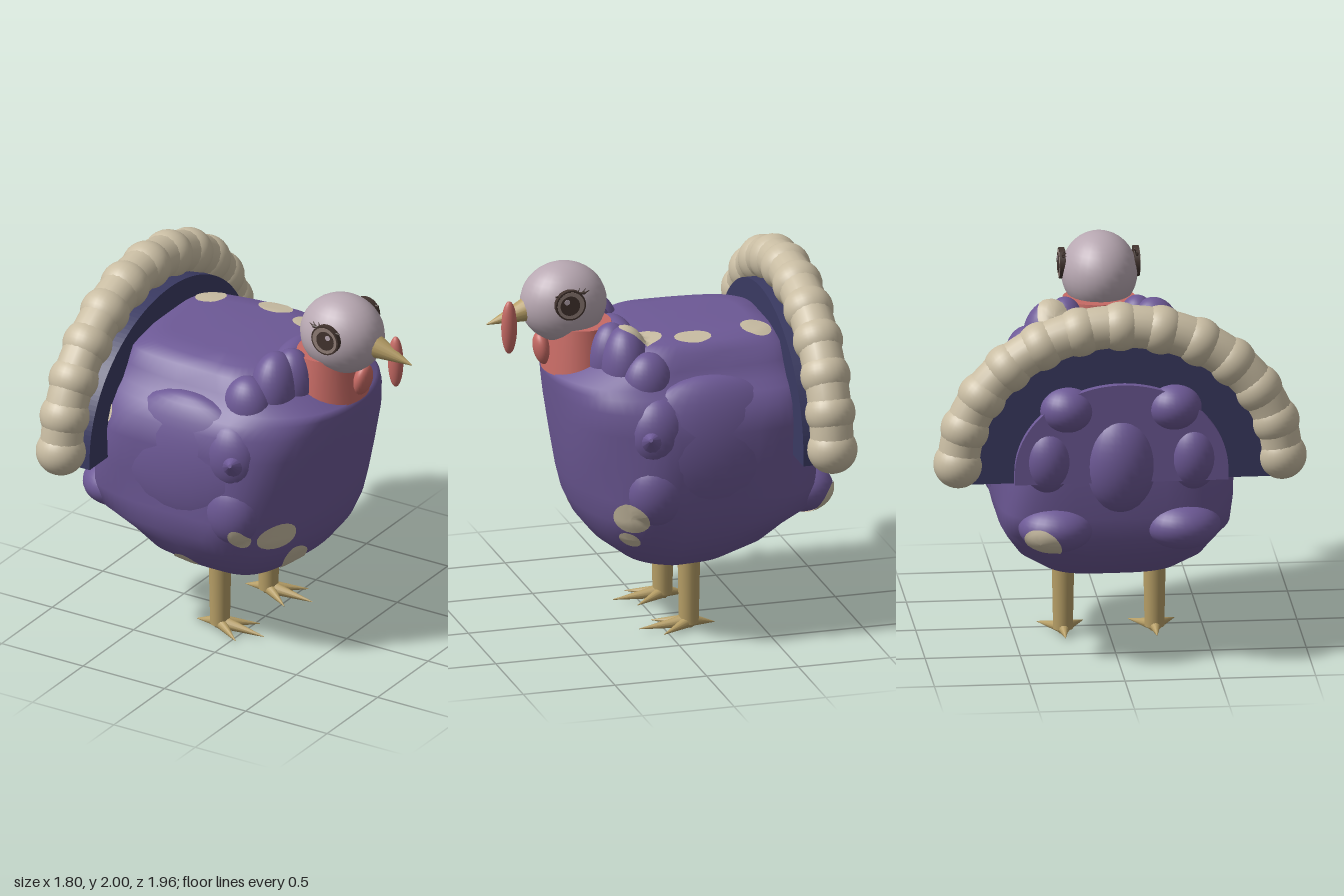
import * as THREE from 'three';

const mat = (name, color, side = THREE.FrontSide) => {
  const m = new THREE.MeshStandardMaterial({ color, side });
  m.name = name;
  return m;
};

export function createModel() {
  const root = new THREE.Group();
  root.name = 'turkey';
  const purple = mat('purple plumage', 0x6d5996);
  const cream = mat('cream feather tips', 0xc9bda3);
  const spotCream = mat('cream spots', 0xc9bda3, THREE.DoubleSide);
  const navy = mat('navy band', 0x3a3a62);
  const mauve = mat('pale mauve skin', 0xb8a8b2);
  const red = mat('salmon red', 0xc66a64);
  const horn = mat('horn yellow', 0xb69e66);
  const dark = mat('dark brown', 0x42342f);
  const iris = mat('iris taupe', 0x8f7d76);

  const add = (name, geo, material, x = 0, y = 0, z = 0) => {
    const m = new THREE.Mesh(geo, material);
    m.name = name;
    m.position.set(x, y, z);
    root.add(m);
    return m;
  };
  const blob = (name, material, [x, y, z], [rx, ry, rz]) =>
    add(name, new THREE.SphereGeometry(1, 28, 20).scale(rx, ry, rz), material, x, y, z);
  // tapered rod between two points
  const rod = (name, material, a, b, r0, r1, sides = 14) => {
    const p = new THREE.Vector3(...a), q = new THREE.Vector3(...b), d = q.clone().sub(p);
    const m = add(name, new THREE.CylinderGeometry(r1, r0, d.length(), sides), material);
    m.position.copy(p).add(q).multiplyScalar(0.5);
    m.quaternion.setFromUnitVectors(new THREE.Vector3(0, 1, 0), d.normalize());
    return m;
  };

  // body: horizontal loops of [y, back x, front x, half width], boxy behind and round in front
  const rows = [
    [0.36, -0.1, -0.1, 0], [0.36, -0.22, 0.06, 0.26], [0.4, -0.38, 0.2, 0.36],
    [0.5, -0.57, 0.33, 0.49], [0.6, -0.69, 0.41, 0.56], [0.7, -0.77, 0.455, 0.61],
    [0.82, -0.79, 0.485, 0.635], [1.0, -0.8, 0.52, 0.64], [1.2, -0.8, 0.55, 0.65],
    [1.32, -0.78, 0.565, 0.62], [1.39, -0.75, 0.575, 0.57], [1.43, -0.73, 0.575, 0.52],
    [1.5, -0.69, 0.42, 0.47], [1.58, -0.65, 0.33, 0.43], [1.62, -0.6, 0.26, 0.37],
    [1.635, -0.5, 0.15, 0.27], [1.635, -0.1, -0.1, 0]];
  const N = 64, pos = [], idx = [];
  rows.forEach(([y, xb, xf, hz], i) => {
    const cx = xb + (xf - xb) * 0.62, boxy = y > 0.65 && y < 1.6 ? 0.42 : 0.6;
    for (let j = 0; j < N; j++) {
      const a = (j / N) * Math.PI * 2, c = Math.cos(a), s = Math.sin(a);
      const e = c > 0 ? 0.92 : boxy;
      const w = 1 + 0.014 * Math.sin(5 * a + 9 * y) * Math.abs(s);
      pos.push(cx + Math.sign(c) * Math.abs(c) ** e * (c > 0 ? xf - cx : cx - xb) * w,
        y, Math.sign(s) * Math.abs(s) ** e * hz * w);
      if (i < rows.length - 1) {
        const p = i * N + j, q = i * N + ((j + 1) % N);
        idx.push(p, p + N, q, p + N, q + N, q);
      }
    }
  });
  const bodyGeo = new THREE.BufferGeometry();
  bodyGeo.setAttribute('position', new THREE.Float32BufferAttribute(pos, 3));
  bodyGeo.setIndex(idx);
  bodyGeo.computeVertexNormals();
  const plumage = [add('body', bodyGeo, purple)];
  const plume = (name, at, size) => plumage.push(blob(name, purple, at, size));

  for (const s of [1, -1]) {
    // folded wing: a shallow swelling with a lobed front edge
    plume('wing', [-0.15, 1.08, s * 0.5], [0.46, 0.4, 0.165]);
    plume('wingFrontLobe', [0.14, 1.43, s * 0.4], [0.14, 0.17, 0.12]);
    plume('wingFrontLobe', [0.12, 1.2, s * 0.52], [0.17, 0.2, 0.135]);
    plume('wingFrontLobe', [0.12, 0.88, s * 0.52], [0.17, 0.2, 0.135]);
    plumage.push(rod('wingTip', purple, [0.17, 1.18, s * 0.58], [0.21, 1.22, s * 0.69], 0.09, 0.01));
    // raised shoulder ruff wrapping the neck
    plume('shoulderRuff', [0.23, 1.49, s * 0.27], [0.13, 0.22, 0.15]);
    plume('neckRuff', [0.28, 1.5, s * 0.19], [0.125, 0.21, 0.12]);
    // rump feather tufts
    plume('rumpTuft', [-0.74, 1.42, s * 0.28], [0.15, 0.13, 0.15]);
    plume('rumpTuft', [-0.73, 1.15, s * 0.38], [0.14, 0.19, 0.14]);
    plume('rumpTuft', [-0.7, 0.76, s * 0.33], [0.18, 0.13, 0.2]);
  }
  plume('rumpTuft', [-0.73, 1.12, 0], [0.17, 0.28, 0.2]);
  plume('backRuff', [0.2, 1.52, 0], [0.11, 0.15, 0.25]);

  // tail fan: navy half disc, purple inner fan, cream lobes round the rim
  const halfDisc = (a, b, depth) => {
    const s = new THREE.Shape();
    s.absellipse(0, 0.06, a, b, 0, Math.PI, false, 0);
    s.lineTo(-a, 0);
    s.lineTo(a, 0);
    return new THREE.ExtrudeGeometry(s, { depth, bevelEnabled: false, curveSegments: 40 })
      .rotateY(Math.PI / 2);
  };
  add('tailBand', halfDisc(0.79, 0.67, 0.19), navy, -0.78, 1.03, 0);
  add('innerTail', halfDisc(0.56, 0.47, 0.1), purple, -0.82, 1.03, 0);
  const LOBES = 13;
  const rimPoint = t => {
    const a = Math.PI * (0.015 + 0.97 * t);
    return { a, p: new THREE.Vector3(-0.73, 1.095 + 0.76 * Math.sin(a), 0.85 * Math.cos(a)) };
  };
  const rim = [];
  for (let i = 0; i < LOBES; i++) {
    const { a, p } = rimPoint(i / (LOBES - 1));
    rim.push(p);
    blob('tailLobe', cream, p.toArray(), [0.132, 0.128, 0.13]).rotation.x = -a;
  }
  add('tailRim', new THREE.TubeGeometry(new THREE.CatmullRomCurve3(rim), 60, 0.114, 18), cream);

  // spots: discs dropped onto the plumage, seen from direction dir around a centre point
  root.updateMatrixWorld(true);
  const caster = new THREE.Raycaster();
  const spot = (dir, centre, ru, rv, tilt = 0) => {
    const d = new THREE.Vector3(...dir).normalize();
    const up = new THREE.Vector3(0, d.y > 0.9 ? 0 : 1, d.y > 0.9 ? -1 : 0);
    const frame = new THREE.Matrix4().lookAt(d, new THREE.Vector3(), up)
      .setPosition(new THREE.Vector3(...centre).addScaledVector(d, 2));
    const g = new THREE.RingGeometry(0.001, 1, 20, 4);
    const p = g.scale(ru, rv, 1).rotateZ(tilt).applyMatrix4(frame).attributes.position;
    for (let i = 0; i < p.count; i++) {
      caster.set(new THREE.Vector3().fromBufferAttribute(p, i), d.clone().negate());
      const hit = caster.intersectObjects(plumage)[0];
      if (!hit) return;
      const n = hit.face.normal.clone().transformDirection(hit.object.matrixWorld);
      const q = hit.point.addScaledVector(n, 0.007);
      p.setXYZ(i, q.x, q.y, q.z);
    }
    g.computeVertexNormals();
    add('spot', g, spotCream);
  };
  const TOP = [0, 1, 0], FRONT = [1, 0, 0], LEFT = [0, 0, 1], FRONT_RIGHT = [1, 0, -1];
  spot(TOP, [-0.49, 0, -0.25], 0.08, 0.09);
  spot(TOP, [-0.13, 0, -0.31], 0.1, 0.065);
  spot(TOP, [0.14, 0, -0.26], 0.12, 0.08, 0.2);
  spot(FRONT, [0, 0.74, 0.43], 0.085, 0.08);
  spot(FRONT, [0, 0.53, 0.23], 0.14, 0.06, 0.75 - Math.PI / 2 - 0.0);
  spot(FRONT_RIGHT, [0.3, 0.74, -0.56], 0.11, 0.085, 0.3);
  spot(FRONT_RIGHT, [0.28, 0.6, -0.48], 0.06, 0.045);
  spot(LEFT, [0.2, 0.75, 0], 0.045, 0.065);
  spot(LEFT, [-0.2, 0.48, 0], 0.065, 0.05);
  spot(LEFT, [-0.6, 1.28, 0], 0.03, 0.05);
  spot([-0.8, 0, -0.5], [-0.8, 0.71, -0.4], 0.1, 0.08);

  // neck, head, beak, snood and wattle
  add('neck', new THREE.CylinderGeometry(0.165, 0.2, 0.25, 32), red, 0.395, 1.55, 0).scale.z = 1.15;
  blob('head', mauve, [0.48, 1.785, 0.01], [0.23, 0.215, 0.2]);
  rod('beak', horn, [0.66, 1.765, 0.01], [0.9, 1.7, 0], 0.07, 0.003, 16);
  blob('snood', red, [0.785, 1.68, -0.025], [0.042, 0.145, 0.036]);
  blob('wattle', red, [0.6, 1.54, 0], [0.045, 0.09, 0.065]).rotation.z = -0.2;

  // eyes: stacked thin discs, with lashes
  for (const s of [1, -1]) {
    const disc = (name, material, x, y, r, z, h) =>
      add(name, new THREE.CylinderGeometry(r, r, h, 28).rotateX(Math.PI / 2), material, x, y, 0.01 + s * z);
    disc('eyeRim', dark, 0.5, 1.83, 0.082, 0.195, 0.03);
    disc('eyeIris', iris, 0.5, 1.83, 0.073, 0.209, 0.006);
    disc('eyePupil', dark, 0.505, 1.83, 0.053, 0.212, 0.006);
    disc('eyeGlint', mauve, 0.522, 1.852, 0.015, 0.2145, 0.005);
    const z = 0.01 + s * 0.195;
    rod('upperLid', dark, [0.42, 1.89, z], [0.58, 1.88, z], 0.008, 0.005, 8);
    for (const [x, dx, dy] of [[0.425, -0.035, 0.012], [0.44, -0.03, 0.025], [0.465, -0.022, 0.028]])
      rod('eyelash', dark, [x, 1.885, z], [x + dx, 1.885 + dy, z - s * 0.015], 0.006, 0.001, 8);
  }

  // legs and feet
  for (const s of [1, -1]) {
    const z = s * 0.24;
    rod('leg', horn, [-0.13, 0.03, z], [-0.13, 0.44, z], 0.052, 0.06, 20);
    for (const [dx, dz, r] of [[0.27, 0, 0.04], [0.17, 0.12, 0.036], [0.17, -0.12, 0.036], [-0.14, 0, 0.034]])
      rod('toe', horn, [-0.14, 0.04, z], [-0.13 + dx, 0.018, z + dz], r, 0.002, 12);
  }
  return root;
}
